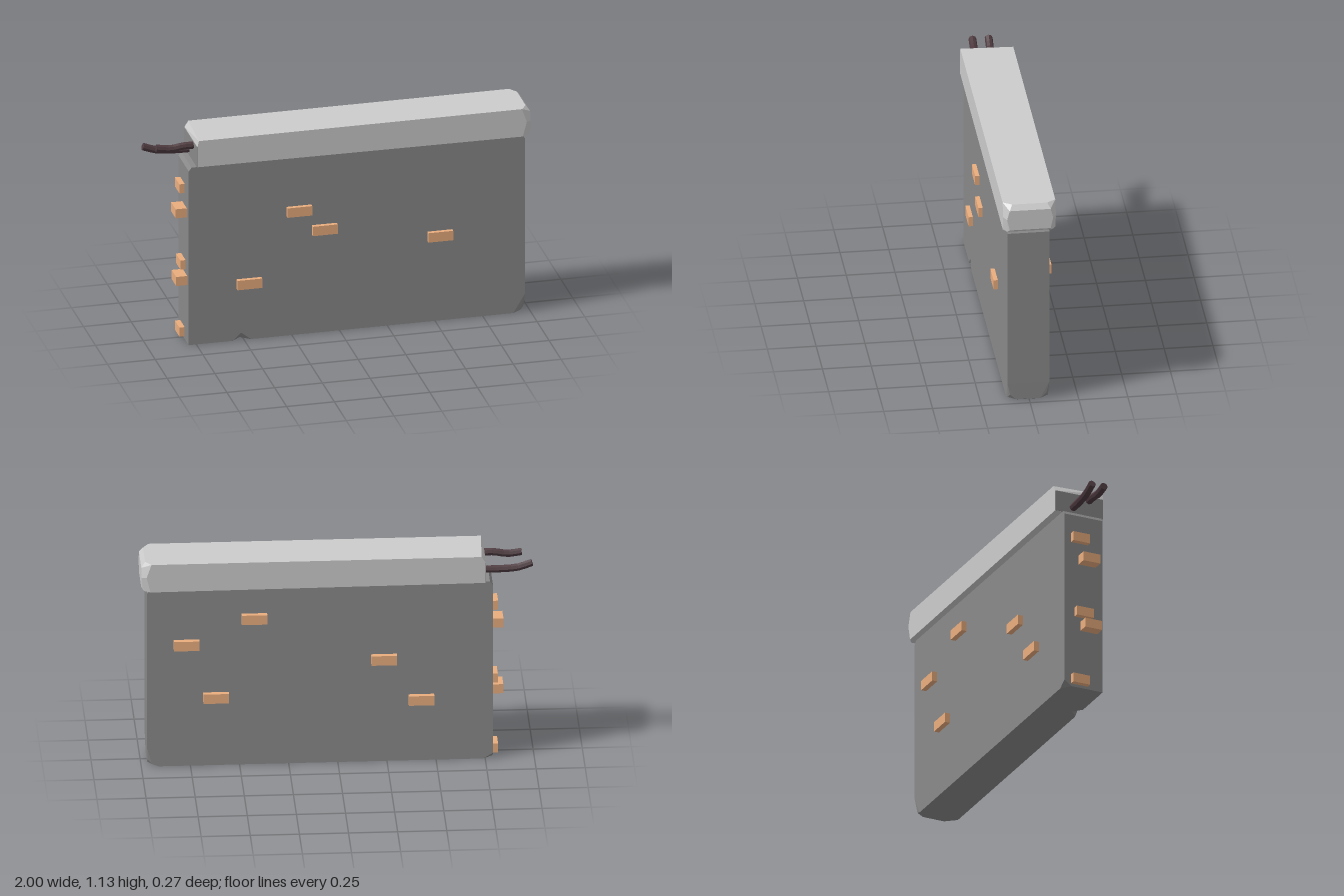
import * as THREE from 'three';
import { ConvexGeometry } from 'three/addons/geometries/ConvexGeometry.js';

const mat = (color) => new THREE.MeshStandardMaterial({ color, flatShading: true });

export function createModel() {
  const model = new THREE.Group();
  const wallMat = mat(0x898989), capMat = mat(0xcccccc);
  const brickMat = mat(0xeaad7e), barMat = mat(0x4e3b40);

  const add = (name, geometry, material, parent = model) => {
    const mesh = new THREE.Mesh(geometry, material);
    mesh.name = name;
    parent.add(mesh);
    return mesh;
  };
  const hull = (name, points, material, parent) =>
    add(name, new ConvexGeometry(points.map((p) => new THREE.Vector3(...p))), material, parent);

  // Wall slab, divided around the chipped notch in its front bottom edge
  const ZB = -0.102, ZF = 0.113, TOP = 0.98;
  const wall = new THREE.Group();
  wall.name = 'wall';
  model.add(wall);
  const section = (x) => [[x, 0, ZB], [x, TOP, ZB], [x, TOP, ZF], [x, 0, ZF]];
  const chipped = (x) => [[x, 0, ZB], [x, TOP, ZB], [x, TOP, ZF], [x, 0.04, ZF], [x, 0, ZF - 0.04]];

  hull('wallLeftBlock', [
    ...section(-0.56),
    [-0.79, 0, ZF], [-0.79, 0.96, ZF], [-0.775, TOP, ZF],
    [-0.79, 0.96, ZB], [-0.775, TOP, ZB],
    [-0.79, 0.03, ZB], [-0.79, 0, ZB + 0.04], [-0.74, 0, ZB],
  ], wallMat, wall);
  hull('notchSide', [...section(-0.56), ...chipped(-0.515)], wallMat, wall);
  hull('notchSide', [...chipped(-0.515), ...section(-0.465)], wallMat, wall);

  // Worn corners on the far end of the wall
  const endPoints = [];
  for (const [z, inward] of [[ZF, -1], [ZB, 1]]) {
    endPoints.push(
      [0.97, 0.1, z], [0.967, 0.035, z + inward * 0.015], [0.968, 0.008, z + inward * 0.045],
      [0.955, 0, z + inward * 0.055], [0.945, 0.012, z + inward * 0.004], [0.91, 0, z],
      [0.97, 0.96, z], [0.955, TOP, z],
    );
  }
  hull('wallMainBlock', [...section(-0.465), ...endPoints], wallMat, wall);

  // Coping along the top, with worn edges at its far end
  const copingPoints = [];
  for (const s of [1, -1]) {
    const x = s > 0 ? -0.742 : -0.73;
    copingPoints.push(
      [-0.75, 0.988, s * 0.135], [-0.75, 1.1, s * 0.135], [x, 1.132, s * 0.135],
      [0.955, 0.98, s * 0.135], [0.975, 1.06, s * 0.135], [0.95, 1.132, s * 0.135],
      [0.985, 0.98, s * 0.115], [1, 0.995, s * 0.105], [1, 1.055, s * 0.118],
      [1, 1.105, s * 0.105], [0.98, 1.132, s * 0.09],
    );
  }
  hull('coping', copingPoints, capMat);

  // Exposed core on the broken end of the coping
  const core = add('brokenEnd', new THREE.BoxGeometry(0.006, 0.11, 0.268), wallMat);
  core.position.set(-0.75, 1.044, 0);

  // Bricks showing through the faces: [x, y]
  const brick = (name, size, x, y, z) =>
    add(name, new THREE.BoxGeometry(...size), brickMat).position.set(x, y, z);
  for (const [x, y] of [[-0.213, 0.685], [-0.08, 0.57], [0.525, 0.471], [-0.475, 0.312]])
    brick('frontBrick', [0.13, 0.052, 0.06], x, y, 0.105);
  for (const [x, y] of [[0.425, 0.81], [0.77, 0.673], [-0.235, 0.567], [0.62, 0.378], [-0.425, 0.34]])
    brick('backBrick', [0.13, 0.052, 0.06], x, y, -0.1);

  // Bricks on the broken end: [y, z, how far they stand out]
  for (const [y, z, out] of [
    [0.832, -0.018, 0.028], [0.715, 0.025, 0.058], [0.419, 0.002, 0.028],
    [0.345, 0.035, 0.058], [0.04, -0.018, 0.028],
  ]) brick('endBrick', [out + 0.03, 0.05, 0.095], -0.79 - out / 2 + 0.015, y, z);

  // Bent reinforcing bars leaving the coping, with closed ends
  const bar = (points) => {
    const path = new THREE.CatmullRomCurve3(points.map((p) => new THREE.Vector3(...p)));
    add('reinforcingBar', new THREE.TubeGeometry(path, 8, 0.02, 8), barMat);
    const cap = add('barEnd', new THREE.CircleGeometry(0.02, 8), barMat);
    const end = path.getPoint(1);
    cap.position.copy(end);
    cap.lookAt(end.clone().add(path.getTangent(1)));
  };
  bar([[-0.7, 1.022, -0.035], [-0.82, 1.022, -0.037], [-0.92, 1.03, -0.04], [-0.992, 1.055, -0.042]]);
  bar([[-0.7, 1.075, 0.054], [-0.8, 1.078, 0.053], [-0.87, 1.068, 0.05], [-0.944, 1.078, 0.047]]);

  return model;
}
